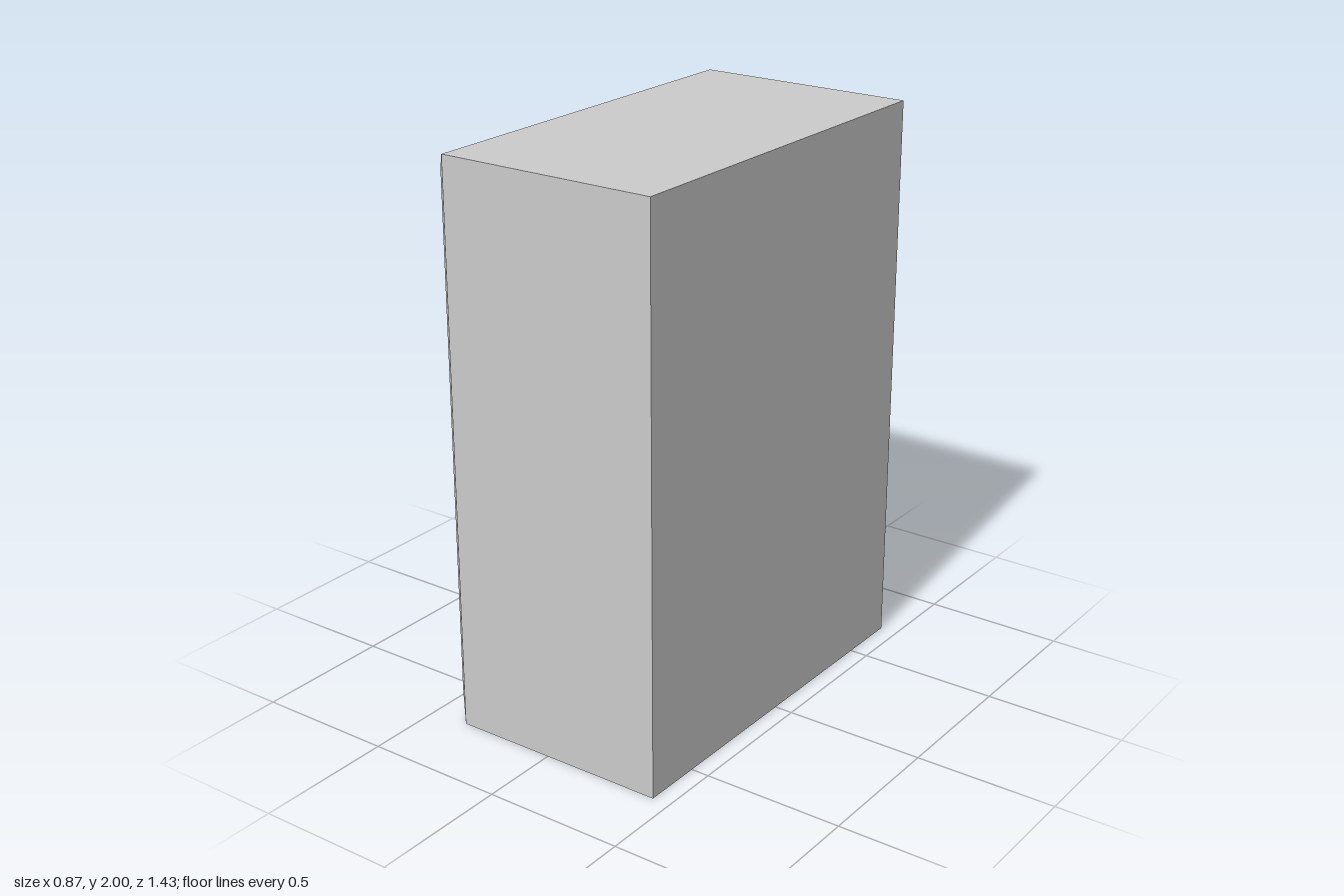
import * as THREE from 'three';

const material = new THREE.MeshStandardMaterial({ color: 0xcccccc, flatShading: true });

// Depths measured along the keyhole axis, positive toward the keyhole face
const FACE = 0.435, SHOULDER = 0.36, POCKET = -0.2, BACK = -0.435;

// Counter-clockwise outlines in the plane of the keyhole face
const rectangle = (w, y0, y1) => [[-w, y0], [w, y0], [w, y1], [-w, y1]];
const mirrored = (half) => [...half, ...half.map(([a, y]) => [-a, y]).reverse()];

const faceOutline = rectangle(0.64, 0.075, 1.925);
const bodyOutline = rectangle(0.715, 0, 2);
const holeOutline = mirrored([[0.24, 0.36], [0.165, 0.88], [0.535, 1.47]]);
const pocketOutline = mirrored([[0.155, 0.435], [0.08, 0.872], [0.408, 1.395]]);

// Walls joining consecutive rings, each given as [outline, depth]; inward flips the facing
function loft(rings, inward = false) {
  const pos = [];
  for (let r = 0; r + 1 < rings.length; r++) {
    const [front, zf] = rings[r], [back, zb] = rings[r + 1];
    front.forEach((_, i) => {
      const j = (i + 1) % front.length;
      const [p, q] = inward ? [j, i] : [i, j];
      const a = [...front[p], zf], b = [...front[q], zf];
      const c = [...back[p], zb], d = [...back[q], zb];
      pos.push(...c, ...d, ...b, ...c, ...b, ...a);
    });
  }
  const geo = new THREE.BufferGeometry();
  geo.setAttribute('position', new THREE.Float32BufferAttribute(pos, 3));
  geo.computeVertexNormals();
  return geo;
}

// Flat face at a given depth, optionally pierced by a hole
function cap(outline, depth, hole) {
  const toPoints = (list) => list.map(([a, y]) => new THREE.Vector2(a, y));
  const shape = new THREE.Shape(toPoints(outline));
  if (hole) shape.holes.push(new THREE.Path(toPoints(hole)));
  return new THREE.ShapeGeometry(shape).translate(0, 0, depth);
}

export function createModel() {
  const group = new THREE.Group();
  group.name = 'keyholeBlock';

  const add = (name, geometry) => {
    // Turn the keyhole axis toward -x
    const mesh = new THREE.Mesh(geometry.rotateY(-Math.PI / 2), material);
    mesh.name = name;
    group.add(mesh);
  };

  // Block with one bevelled end
  add('blockSides', loft([[faceOutline, FACE], [bodyOutline, SHOULDER], [bodyOutline, BACK]]));
  add('keyholeFace', cap(faceOutline, FACE, holeOutline));
  add('backFace', cap(bodyOutline, 0).rotateY(Math.PI).translate(0, 0, BACK));

  // Keyhole with bevelled rim and straight deep walls
  add('keyholeWalls', loft([[holeOutline, FACE], [pocketOutline, SHOULDER], [pocketOutline, POCKET]], true));
  add('keyholeFloor', cap(pocketOutline, POCKET));

  return group;
}
